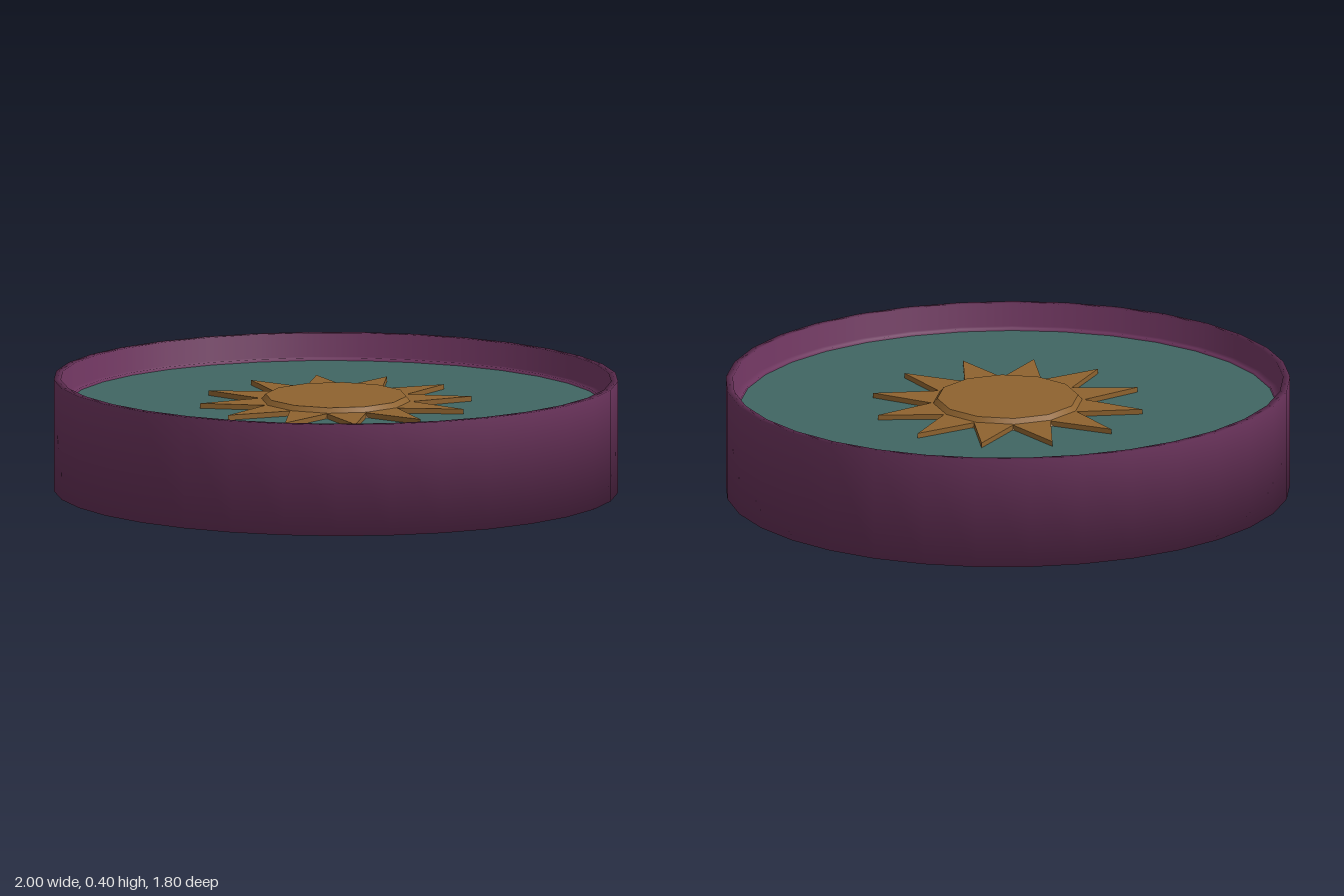
import * as THREE from 'three';

const SIDES = 33;      // sides of the oval
const DEPTH = 0.9;     // oval depth relative to its width
const FLOOR = 0.305;   // height of the inlaid floor

function material(name, color) {
  const m = new THREE.MeshStandardMaterial({ color });
  m.name = name;
  return m;
}

export function createModel() {
  const plum = material('plum', 0x6c345d);
  const teal = material('teal', 0x406663);
  const ochre = material('ochre', 0x8f632f);
  const group = new THREE.Group();

  const add = (name, geometry, mat) => {
    const mesh = new THREE.Mesh(geometry, mat);
    mesh.name = name;
    group.add(mesh);
    return mesh;
  };

  // Oval bowl: closed base, upright wall, thin rim, inner ledge
  const profile = [
    [0, 0], [1, 0], [1, 0.4], [0.975, 0.4], [0.975, FLOOR + 0.01], [0.95, FLOOR + 0.01], [0.95, FLOOR - 0.01],
  ].map(([r, y]) => new THREE.Vector2(r, y));
  const bowl = new THREE.LatheGeometry(profile, SIDES, Math.PI);
  bowl.scale(1, 1, DEPTH);
  add('bowl', bowl, plum);

  // Floor inside the rim
  const floor = new THREE.CircleGeometry(0.952, SIDES, Math.PI / 2);
  floor.rotateX(-Math.PI / 2);
  floor.scale(1, 1, DEPTH);
  floor.translate(0, FLOOR, 0);
  add('floor', floor, teal);

  // Twelve pointed rays, cut as one star
  const star = new THREE.Shape();
  const rays = 12;
  for (let i = 0; i < rays * 2; i++) {
    const r = i % 2 ? 0.272 : 0.485;
    const a = Math.PI / 2 - THREE.MathUtils.degToRad(16) + (i * Math.PI) / rays;
    const x = r * Math.cos(a), y = r * Math.sin(a);
    if (i) star.lineTo(x, y);
    else star.moveTo(x, y);
  }
  star.closePath();
  const rayGeometry = new THREE.ExtrudeGeometry(star, { depth: 0.018, bevelEnabled: false });
  rayGeometry.rotateX(-Math.PI / 2);
  rayGeometry.translate(0, FLOOR, 0);
  add('sunRays', rayGeometry, ochre);

  // Low bevelled disc over the rays
  const disc = new THREE.CylinderGeometry(0.25, 0.28, 0.035, 12);
  disc.translate(0, FLOOR + 0.0175, 0);
  add('sunDisc', disc, ochre);

  return group;
}
